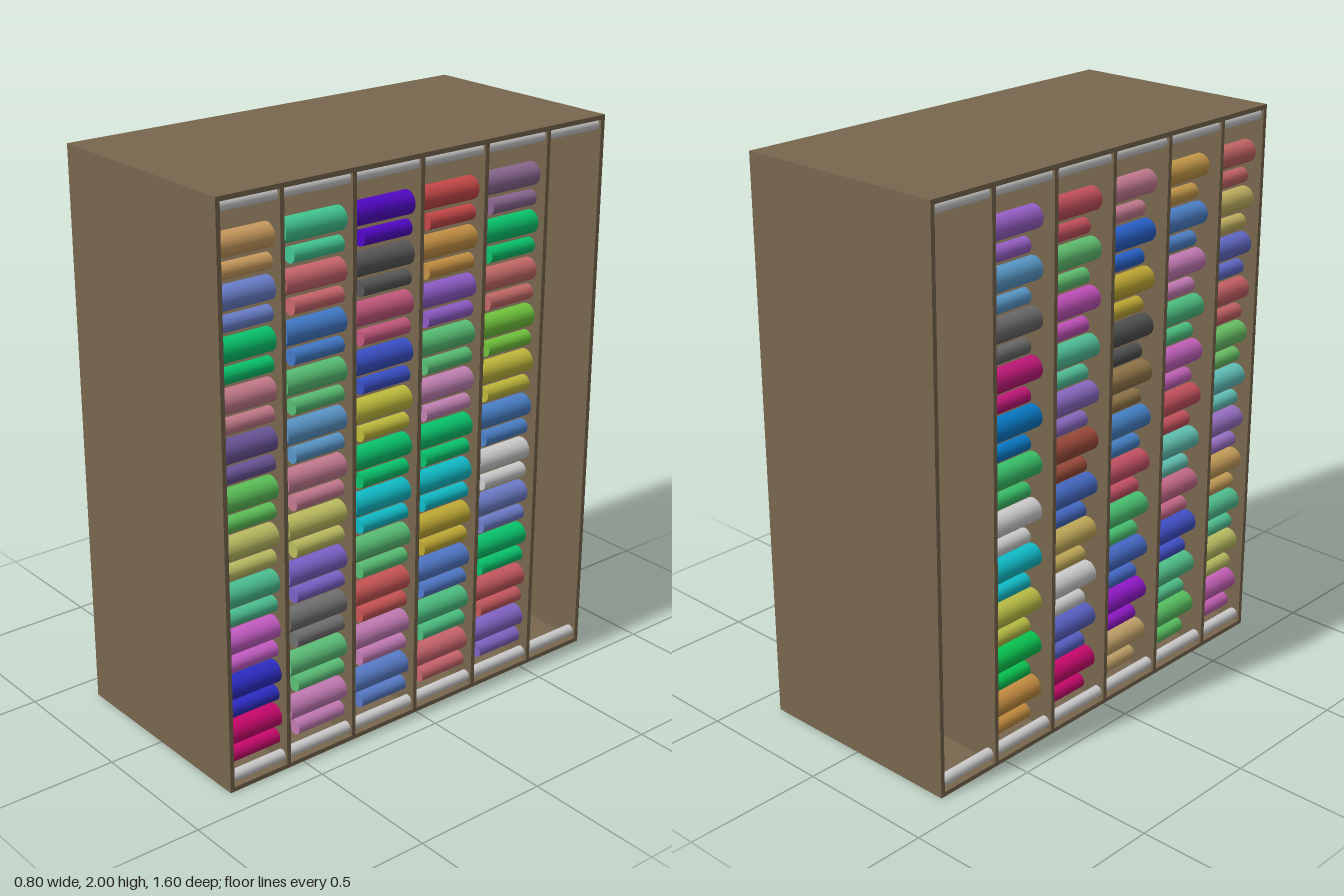
import * as THREE from 'three';

const W = 0.8, H = 2, D = 1.6, T = 0.016;
const dividerZ = [0.56, 0.283, 0.008, -0.265, -0.54];

// roll colours, one row per column from front to back, top to bottom
const rightColors = [
  [0xc99a5e, 0x6a7fcb, 0x08c46c, 0xc47a8a, 0x6a5498, 0x5cc058, 0xb9bb62, 0x4bbf90, 0xc45cc4, 0x2c2cc4, 0xc8086c],
  [0x42c792, 0xc9666c, 0x427ac8, 0x58bf74, 0x5a96c8, 0xc47a90, 0xbcbc60, 0x7a62c8, 0x707070, 0x5cbf78, 0xc27ab4],
  [0x5208c8, 0x585858, 0xc4587e, 0x3a50c8, 0xc0bc3c, 0x08c46c, 0x10bcc8, 0x58bf74, 0xc85454, 0xc27ab4, 0x587cc8],
  [0xc84848, 0xc49044, 0x8e5cc8, 0x58bf74, 0xc282b4, 0x08c46c, 0x10bcc8, 0xc0aa34, 0x5078c8, 0x4cbf80, 0xc8646c],
  [0x8a6890, 0x08c46c, 0xc46a68, 0x70c43c, 0xc0b83c, 0x4a80c8, 0xbcbcbc, 0x6c7cc8, 0x08c46c, 0xc4585e, 0x8064c4],
];
const leftColors = [
  [0xc46464, 0xc0b060, 0x6068c4, 0xc46064, 0x68bf64, 0x60c0b8, 0x9870c4, 0xc49c58, 0x50bf90, 0xb8bc60, 0xc460b4],
  [0xc49848, 0x4c80c8, 0xc47ab4, 0x4cbf80, 0xc060b8, 0xc4505c, 0x60c0b0, 0xc46888, 0x4050c8, 0x50bf88, 0x58bf60],
  [0xc47a90, 0x2860c8, 0xc0a834, 0x505050, 0x907448, 0x4480c4, 0xc45064, 0x48bf70, 0x4468c4, 0x9018c8, 0xc0a068],
  [0xc4505c, 0x60bf70, 0xc050b8, 0x50bf98, 0x8868c0, 0x984838, 0x4468c0, 0xc0a858, 0xbcbcbc, 0x5860c4, 0xc8086c],
  [0x9860c8, 0x5898c8, 0x686868, 0xc01878, 0x0878c4, 0x38c068, 0xbcbcbc, 0x10bcc8, 0xb8bc44, 0x08c450, 0xc48c40],
];

export function createModel() {
  const model = new THREE.Group();
  const wood = new THREE.MeshStandardMaterial({ color: 0x78674e });
  const metal = new THREE.MeshStandardMaterial({ color: 0xcccccc });

  const add = (parent, name, geometry, material, x, y, z) => {
    const mesh = new THREE.Mesh(geometry, material);
    mesh.name = name;
    mesh.position.set(x, y, z);
    parent.add(mesh);
  };
  // horizontal cylinder lying along z between z0 and z1
  const bar = (parent, name, radius, material, x, y, z0, z1) => {
    const g = new THREE.CylinderGeometry(radius, radius, Math.abs(z1 - z0), 24).rotateX(Math.PI / 2);
    add(parent, name, g, material, x, y, (z0 + z1) / 2);
  };

  // case, open on both long sides
  const slab = new THREE.BoxGeometry(W, T, D);
  add(model, 'topPanel', slab, wood, 0, H - T / 2, 0);
  add(model, 'bottomPanel', slab, wood, 0, T / 2, 0);
  const wall = new THREE.BoxGeometry(W, H - 2 * T, T);
  add(model, 'frontPanel', wall, wood, 0, H / 2, D / 2 - T / 2);
  add(model, 'backPanel', wall, wood, 0, H / 2, -D / 2 + T / 2);
  for (const z of dividerZ) add(model, 'divider', wall, wood, 0, H / 2, z);

  // rails at the top and bottom of every bay
  const edges = [D / 2 - T / 2, ...dividerZ, -D / 2 + T / 2];
  for (let i = 0; i < 6; i++)
    for (const side of [1, -1])
      for (const y of [0.041, 1.965])
        bar(model, 'rail', 0.02, metal, side * 0.372, y, edges[i] - T / 2, edges[i + 1] + T / 2);

  // stacked rolls: a thick one above a thinner, shorter one; last bay stays empty
  for (const side of [1, -1]) {
    const colors = side > 0 ? rightColors : leftColors;
    colors.forEach((column, i) => {
      const back = dividerZ[i] + T / 2;
      const front = Math.min(back + 0.236, D / 2 - T / 2);
      column.forEach((color, j) => {
        const roll = new THREE.Group();
        roll.name = 'rollPair';
        const material = new THREE.MeshStandardMaterial({ color });
        const y = 1.831 - j * 0.1652;
        bar(roll, 'thickRoll', 0.04, material, side * 0.335, y, back, front);
        bar(roll, 'thinRoll', 0.027, material, side * 0.335, y - 0.082, back, back + 0.196);
        model.add(roll);
      });
    });
  }
  return model;
}
